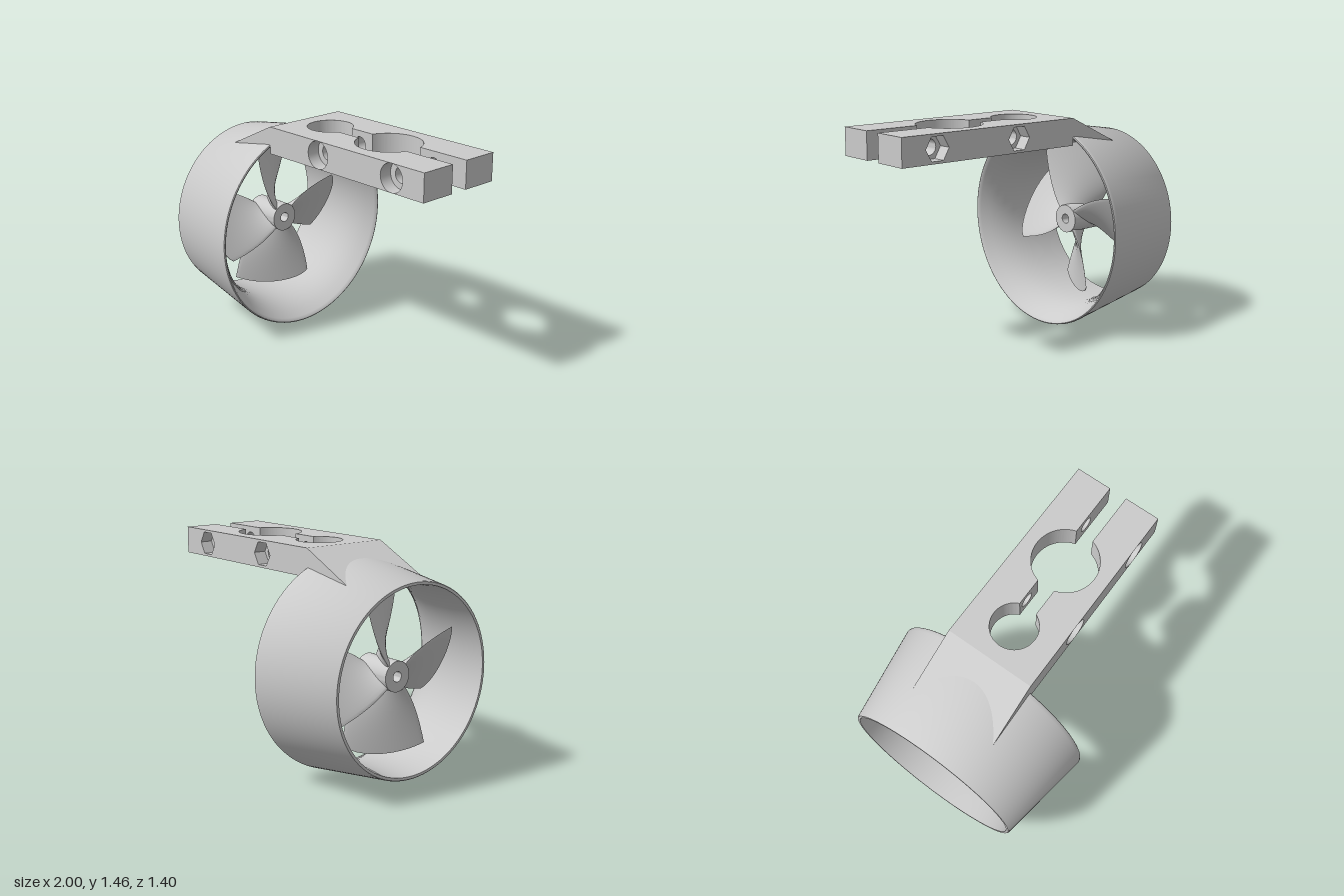
import * as THREE from 'three';
import { toCreasedNormals } from 'three/addons/utils/BufferGeometryUtils.js';

const AXIS_Y = 0.705;            // height of the duct axis
const BAR_Y = 1.37, BAR_H = 0.18; // clamp bar centre height and thickness
const NOSE_X = -0.35;            // where the bar meets the duct mouth
const material = new THREE.MeshStandardMaterial({ color: 0xcccccc, side: THREE.DoubleSide });

function add(parent, name, geometry, crease = 0.6) {
  const mesh = new THREE.Mesh(toCreasedNormals(geometry, crease), material);
  mesh.name = name;
  parent.add(mesh);
  return mesh;
}

// Revolve [x, radius] points about the x axis
function revolve(points, segments) {
  const g = new THREE.LatheGeometry(points.map(([x, r]) => new THREE.Vector2(r, x)), segments);
  return g.rotateZ(-Math.PI / 2);
}

// Plan shape (x, z) extruded through the bar thickness
function extrudeDown(shape) {
  const g = new THREE.ExtrudeGeometry(shape, { depth: BAR_H, bevelEnabled: false, curveSegments: 48 });
  return g.rotateX(Math.PI / 2).translate(0, BAR_H / 2, 0);
}

// Side plate from x0 to x1 between z0 and z1, with round or hexagonal cross holes
function drilledPlate(x0, x1, z0, z1, centres, radius, sides) {
  const h = BAR_H / 2;
  const shape = new THREE.Shape([[x0, -h], [x1, -h], [x1, h], [x0, h]].map(p => new THREE.Vector2(...p)));
  for (const cx of centres) {
    const pts = [];
    for (let i = 0; i < sides; i++) {
      const a = -i / sides * Math.PI * 2;
      pts.push(new THREE.Vector2(cx + radius * Math.cos(a), radius * Math.sin(a)));
    }
    shape.holes.push(new THREE.Path(pts));
  }
  const g = new THREE.ExtrudeGeometry(shape, { depth: z1 - z0, bevelEnabled: false });
  return g.translate(0, 0, z0);
}

// One twisted blade pointing up, lofted from lens-shaped sections
function bladeGeometry() {
  const N = 28, K = 20, r0 = 0.08, r1 = 0.527, pos = [], index = [];
  for (let k = 0; k <= K; k++) {
    const u = Math.min(k / (K - 1), 1);
    for (let i = 0; i < N; i++) {
      const phi = i / N * Math.PI * 2, s = Math.cos(phi);
      const r = r0 + (r1 - r0) * u * (1 - 0.06 * u * Math.max(0, s) ** 6);
      const d = r - r0;
      const half = 0.77 - 0.95 * d + 0.55 * d * d;
      const dx = 0.128, dz = r * half, len = Math.hypot(dx, dz);
      const thick = k === K ? 0 : 0.007 + 0.02 * (1 - u) ** 2;
      const t = thick * Math.sin(phi);
      const x = s * dx - t * dz / len;
      const theta = (s * dz + t * dx / len) / r - 0.03 * u;
      pos.push(x, r * Math.cos(theta), r * Math.sin(theta));
      if (k < K) {
        const a = k * N + i, b = k * N + (i + 1) % N;
        index.push(a, a + N, b, b, a + N, b + N);
      }
    }
  }
  const g = new THREE.BufferGeometry();
  g.setAttribute('position', new THREE.Float32BufferAttribute(pos, 3));
  g.setIndex(index);
  g.computeVertexNormals();
  return g;
}

// Sloping nose that blends the bar into the duct wall
function noseGeometry() {
  const x0 = -0.72, length = NOSE_X - x0;
  const g = new THREE.BoxGeometry(1, 1, 1, 40, 1, 40);
  const p = g.attributes.position;
  for (let i = 0; i < p.count; i++) {
    const u = p.getX(i) + 0.5, x = x0 + length * u, z = p.getZ(i) * 0.6;
    const wall = 0.605 + (x + 1) * 0.15 - 0.012;
    const wallY = AXIS_Y + Math.sqrt(wall * wall - z * z);
    const flat = p.getY(i) > 0 ? 1.282 + 0.178 * u : 1.28;
    p.setXYZ(i, x, Math.max(flat, wallY), z);
  }
  g.computeVertexNormals();
  return g;
}

export function createModel() {
  const model = new THREE.Group();
  model.name = 'ductedPropellerWithClamp';

  // Duct: conical outside, flared mouth inside
  const duct = add(model, 'duct', revolve([
    [-1, 0.584], [-1, 0.601], [-0.995, 0.606], [-0.38, 0.7], [-0.365, 0.702], [-0.354, 0.7],
    [-0.35, 0.694], [-0.352, 0.687], [-0.37, 0.674], [-0.42, 0.642], [-0.47, 0.617], [-0.53, 0.596],
    [-0.6, 0.581], [-0.7, 0.573], [-0.85, 0.574], [-1, 0.584]], 128), 0.7);
  duct.position.y = AXIS_Y;

  // Propeller: bored hub and four blades
  const propeller = new THREE.Group();
  propeller.name = 'propeller';
  propeller.position.set(-0.715, AXIS_Y + 0.004, 0);
  model.add(propeller);
  add(propeller, 'hub', revolve([
    [-0.135, 0.033], [-0.135, 0.097], [0.135, 0.097], [0.135, 0.033], [-0.135, 0.033]], 64));
  const blade = bladeGeometry();
  for (let i = 0; i < 4; i++) add(propeller, 'blade', blade, 1).rotation.x = i * Math.PI / 2;

  // Clamp bar with two clamping bores joined by a slot
  const bar = new THREE.Group();
  bar.name = 'clampBar';
  bar.position.y = BAR_Y;
  model.add(bar);
  const slot = 0.06, inner = 0.215, side = 0.3, end = 1;
  const small = { x: -0.1, r: 0.15 }, large = { x: 0.43, r: 0.212 };
  const aS = Math.asin(slot / small.r), aL = Math.asin(slot / large.r);
  const xA = small.x + small.r * Math.cos(aS);
  const xB = large.x - large.r * Math.cos(aL), xC = large.x + large.r * Math.cos(aL);
  const bolts = [0.112, 0.745];

  // Web around the small bore
  const web = new THREE.Shape();
  web.moveTo(NOSE_X, -inner);
  web.lineTo(xA, -inner);
  web.lineTo(xA, -slot);
  web.absarc(small.x, 0, small.r, -aS, aS, true);
  web.lineTo(xA, inner);
  web.lineTo(NOSE_X, inner);
  add(bar, 'smallBoreWeb', extrudeDown(web));

  // Wall of the large bore, one half
  const cheek = new THREE.Shape();
  cheek.moveTo(xB, slot);
  cheek.absarc(large.x, 0, large.r, Math.PI - aL, aL, true);
  cheek.lineTo(xC, inner);
  cheek.lineTo(xB, inner);

  // Arms: round counterbores on one side, hexagonal nut pockets on the other
  [['frontArm', 0.09, 40], ['backArm', 0.085, 6]].forEach(([name, radius, sides], i) => {
    const arm = new THREE.Group();
    arm.name = name;
    arm.rotation.x = i * Math.PI;
    bar.add(arm);
    add(arm, 'sidePlate', drilledPlate(NOSE_X, end, inner, side, bolts, radius, sides));
    add(arm, 'largeBoreWall', extrudeDown(cheek));
    add(arm, 'innerBoltBlock', drilledPlate(xA, xB, slot, inner, [bolts[0]], 0.05, 32));
    add(arm, 'outerBoltBlock', drilledPlate(xC, end, slot, inner, [bolts[1]], 0.05, 32));
  });

  add(model, 'nose', noseGeometry(), 0.4);
  return model;
}
